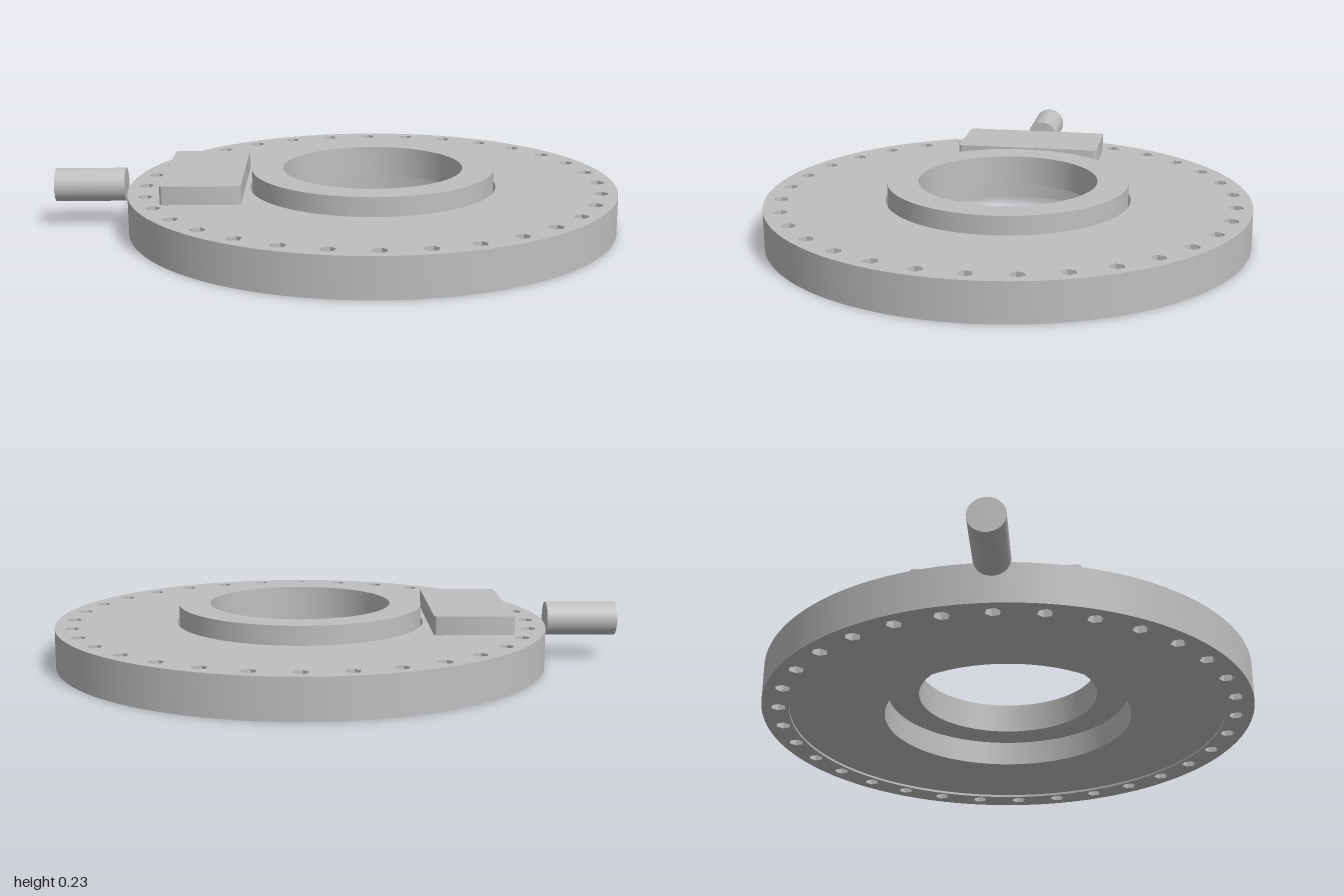
import * as THREE from 'three';
import { toCreasedNormals } from 'three/addons/utils/BufferGeometryUtils.js';

const steel = new THREE.MeshStandardMaterial({ color: 0xbfbfbf });
steel.name = 'steel grey';

// Round outline with a concentric opening
function annulus(outer, inner) {
  const shape = new THREE.Shape().absarc(0, 0, outer, 0, Math.PI * 2, false);
  shape.holes.push(new THREE.Path().absarc(0, 0, inner, 0, Math.PI * 2, true));
  return shape;
}

// Circle of small six-sided bolt holes
function addBoltHoles(shape, count = 32, circle = 0.932, r = 0.031) {
  for (let i = 0; i < count; i++) {
    const a = (i / count) * Math.PI * 2;
    const points = [];
    for (let k = 0; k < 6; k++) {
      const b = Math.PI / 2 - (k * Math.PI) / 3;
      points.push(new THREE.Vector2(
        circle * Math.cos(a) + r * Math.cos(b),
        circle * Math.sin(a) + r * Math.sin(b)));
    }
    shape.holes.push(new THREE.Path(points));
  }
  return shape;
}

// Extrude a plan outline upward between two heights
function slab(name, shape, y0, y1, curveSegments = 96) {
  const geometry = new THREE.ExtrudeGeometry(shape, { depth: y1 - y0, bevelEnabled: false, curveSegments });
  geometry.rotateX(-Math.PI / 2).translate(0, y0, 0);
  const mesh = new THREE.Mesh(toCreasedNormals(geometry, 0.5), steel);
  mesh.name = name;
  return mesh;
}

// Rectangle with slightly rounded corners
function roundedRect(w, h, r) {
  const x = w / 2 - r, y = h / 2 - r;
  return new THREE.Shape()
    .absarc(x, y, r, 0, Math.PI / 2, false)
    .absarc(-x, y, r, Math.PI / 2, Math.PI, false)
    .absarc(-x, -y, r, Math.PI, Math.PI * 1.5, false)
    .absarc(x, -y, r, Math.PI * 1.5, Math.PI * 2, false);
}

export function createModel() {
  const model = new THREE.Group();
  model.name = 'flangedRing';

  // Drilled plate, with its underside slightly recessed inside a rim
  model.add(slab('plate', addBoltHoles(annulus(1, 0.505)), 0.01, 0.16));
  model.add(slab('bottomRim', addBoltHoles(annulus(1, 0.89)), 0, 0.01));

  // Raised centre ring, separated from the plate by a narrow gap
  model.add(slab('centreRing', annulus(0.496, 0.368), 0.11, 0.235));

  // Housing and motor lie on the back right diagonal
  const drive = new THREE.Group();
  drive.name = 'drive';
  drive.rotation.y = Math.PI / 4;
  const housing = slab('housing', roundedRect(0.625, 0.318, 0.016), 0.16, 0.235, 6);
  housing.position.z = -0.682;
  drive.add(housing);

  const motor = new THREE.Mesh(
    new THREE.CylinderGeometry(0.068, 0.068, 0.285, 40).rotateX(Math.PI / 2), steel);
  motor.name = 'motor';
  motor.position.set(0, 0.167, -1.155);
  drive.add(motor);
  model.add(drive);

  return model;
}
